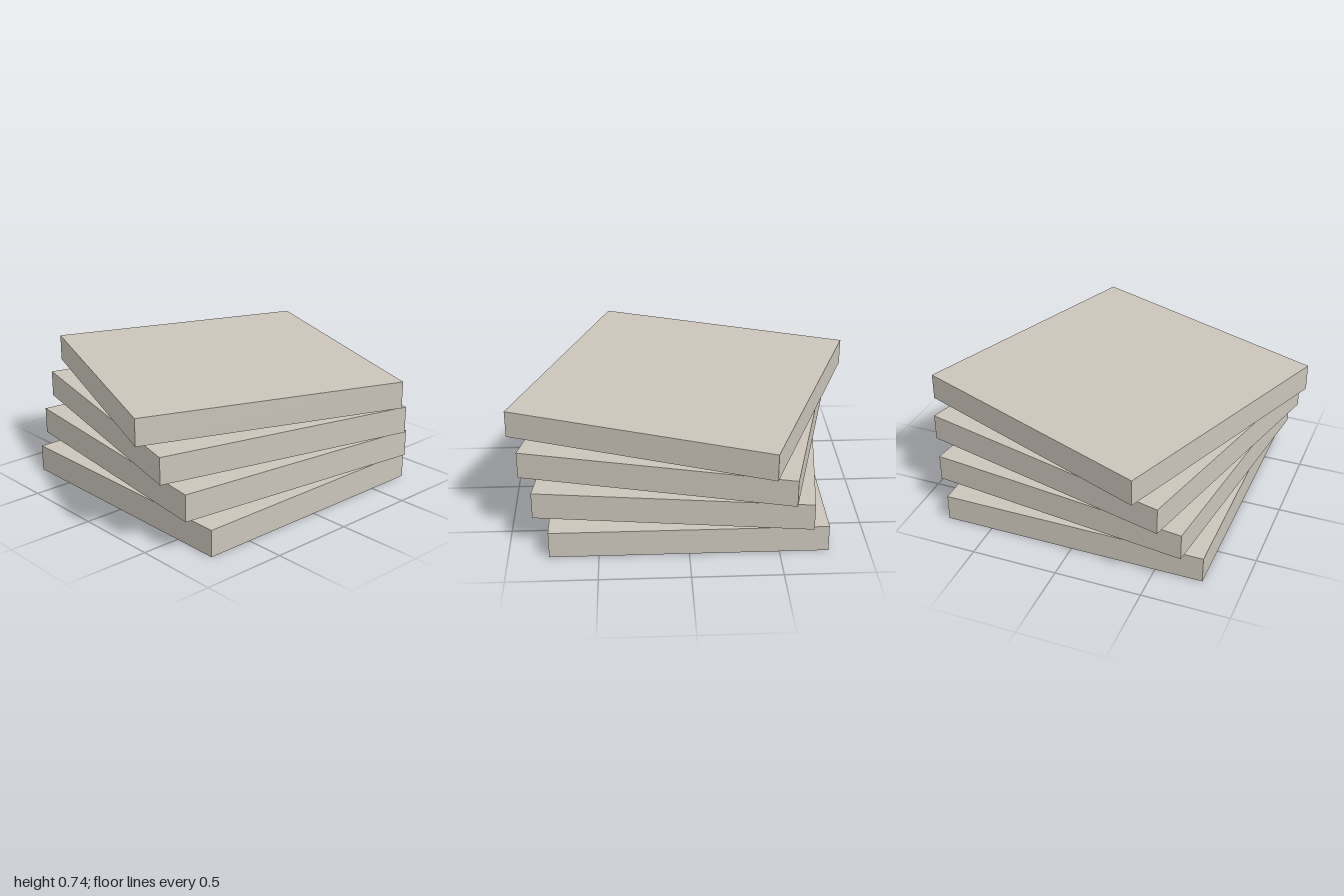
import * as THREE from 'three';

const SIDE = 1.548;     // width and depth of a slab
const THICK = 0.155;    // slab height
const PITCH = 0.1945;   // vertical spacing between slabs
const TWIST = THREE.MathUtils.degToRad(-7); // turn added per level

// Square tray turned upside down: a top and four walls, open underneath
function openSlab() {
  const geometry = new THREE.BoxGeometry(SIDE, THICK, SIDE);
  const index = Array.from(geometry.index.array);
  index.splice(18, 6); // drop the bottom face
  geometry.setIndex(index);
  geometry.clearGroups();
  return geometry;
}

export function createModel() {
  const model = new THREE.Group();
  model.name = 'twistedStack';

  const stone = new THREE.MeshStandardMaterial({ color: 0xcac4ba, side: THREE.DoubleSide });
  stone.name = 'warm grey';

  // Four floating slabs, each turned a little further than the one below
  const geometry = openSlab();
  for (let i = 0; i < 4; i++) {
    const slab = new THREE.Mesh(geometry, stone);
    slab.name = `slab${i + 1}`;
    slab.position.y = THICK / 2 + i * PITCH;
    slab.rotation.y = i * TWIST;
    model.add(slab);
  }
  return model;
}
